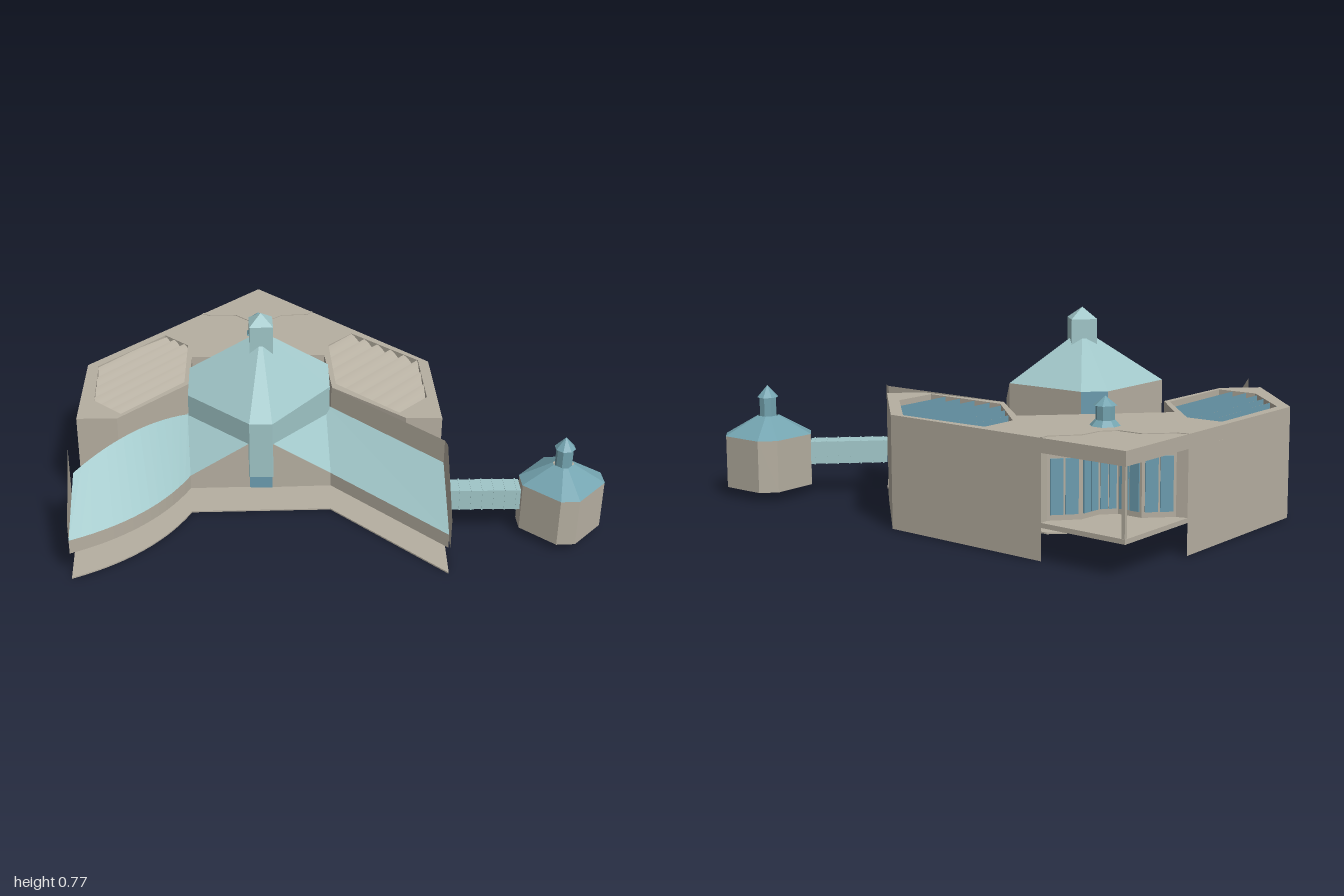
import * as THREE from 'three';

const mat = (name, color) => new THREE.MeshStandardMaterial({ name, color, side: THREE.DoubleSide });

export function createModel() {
  const root = new THREE.Group();
  const stone = mat('stone', 0xb6afa1);
  const tile = mat('pale teal tile', 0xa0c6c8);
  const blue = mat('blue metal', 0x74a4b0);
  const glass = mat('blue glass', 0x6c9db0);

  const add = (name, geo, material) => {
    const m = new THREE.Mesh(geo, material);
    m.name = name;
    root.add(m);
    return m;
  };

  // Horizontal slab from plan points [x, z], between two heights
  const slab = (name, pts, y0, y1, material, holes = []) => {
    const v = p => p.map(([x, z]) => new THREE.Vector2(x, -z));
    const s = new THREE.Shape(v(pts));
    holes.forEach(h => s.holes.push(new THREE.Path(v(h))));
    const g = new THREE.ExtrudeGeometry(s, { depth: y1 - y0, bevelEnabled: false });
    g.rotateX(-Math.PI / 2).translate(0, y0, 0);
    return add(name, g, material);
  };

  // Surface lofted through equal-length rows of [x, y, z]
  const loft = (name, rows, material, smooth = false) => {
    const n = rows[0].length, idx = [];
    for (let r = 0; r < rows.length - 1; r++) for (let i = 0; i < n - 1; i++) {
      const a = r * n + i, b = a + 1, c = a + n, d = c + 1;
      idx.push(a, c, b, b, c, d);
    }
    let g = new THREE.BufferGeometry();
    g.setAttribute('position', new THREE.Float32BufferAttribute(rows.flat(2), 3));
    g.setIndex(idx);
    if (!smooth) g = g.toNonIndexed();
    g.computeVertexNormals();
    return add(name, g, material);
  };

  // Upright wall along plan points [x, z, topHeight]
  const wall = (name, pts, y0, material) => loft(name,
    [pts.map(([x, z, y]) => [x, y, z]), pts.map(([x, z]) => [x, y0, z])], material);

  // ---- Main angular block ----
  const A = [-0.17, -1], B = [0.855, -0.96], C = [0.82, 0.06];
  const inner = [[0.48, 0.39], [0.385, 0.28], [0.375, -0.1], [0.57, -0.31], [0.175, -0.72],
    [0, -0.565], [-0.39, -0.58], [-0.5, -0.7]];
  const zig = [[0.5, -0.974], [0.51, -0.935], [0.59, -0.85], [0.59, -0.755], [0.64, -0.71],
    [0.725, -0.7], [0.81, -0.62], [0.843, -0.62]];
  const wells = [
    [[-0.145, -0.96], [0.24, -0.95], [0.24, -0.81], [0, -0.59], [-0.355, -0.595], [-0.355, -0.755]],
    [[0.65, -0.355], [0.8, -0.35], [0.8, 0.02], [0.575, 0.24], [0.4, 0.235], [0.41, -0.11]],
  ];
  slab('roofSlab', [A, B, C, ...inner], 0.37, 0.42, stone, wells);
  slab('upperWalls', [A, ...zig, C, ...inner], 0.135, 0.37, stone, wells);
  slab('upperFloor', [A, B, C, ...inner], 0.118, 0.135, stone);

  // Ground-level outer walls under the raised floor
  wall('backGroundWall', [[-0.39, -0.8, 0.12], [...A, 0.12], [0.5, -0.974, 0.12]], 0.004, stone);
  wall('sideGroundWall', [[0.843, -0.62, 0.12], [...C, 0.12], [0.48, 0.39, 0.12]], 0.004, stone);

  // Corner terrace: post, windows and the seam in the roof above
  slab('terracePost', [[0.84, -0.957], [0.853, -0.957], [0.853, -0.944], [0.84, -0.944]], 0.13, 0.38, stone);
  zig.slice(0, -1).forEach(([x, z], i) => {
    const [x2, z2] = zig[i + 1], dx = x2 - x, dz = z2 - z, len = Math.hypot(dx, dz);
    const place = (name, w, h, d, y, m, off) => {
      const b = add(name, new THREE.BoxGeometry(w, h, d), m);
      b.position.set((x + x2) / 2 + dz / len * off, y, (z + z2) / 2 - dx / len * off);
      b.rotation.y = -Math.atan2(dz, dx);
    };
    place('roofSeam', len, 0.004, 0.008, 0.421, stone, 0);
    if (i > 0 && i < 6) for (const s of [-1, 1]) {
      const pane = add('terraceWindow', new THREE.BoxGeometry(len * 0.38, 0.19, 0.006), glass);
      const t = 0.5 + s * 0.22;
      pane.position.set(x + dx * t + dz / len * 0.003, 0.25, z + dz * t - dx / len * 0.003);
      pane.rotation.y = -Math.atan2(dz, dx);
    }
  });

  // Sawtooth skylights, clipped to each roof well
  const span = (poly, z) => {
    const xs = [];
    poly.forEach(([x1, z1], i) => {
      const [x2, z2] = poly[(i + 1) % poly.length];
      if (z1 !== z2 && z >= Math.min(z1, z2) && z <= Math.max(z1, z2)) xs.push(x1 + (x2 - x1) * (z - z1) / (z2 - z1));
    });
    return xs.length ? [Math.min(...xs), Math.max(...xs)] : [poly[0][0], poly[0][0]];
  };
  wells.forEach((poly, k) => {
    const zs = poly.map(p => p[1]), z0 = Math.min(...zs) + 0.006, z1 = Math.max(...zs) - 0.006;
    const count = k ? 8 : 6, step = (z1 - z0) / count;
    for (let i = 0; i < count; i++) {
      const za = z0 + i * step, rows = [];
      for (let j = 0; j <= 5; j++) {
        const t = j / 5, z = za + step * t, [l, r] = span(poly, z), y = 0.418 - 0.055 * t ** 1.6;
        rows.push([[l, y, z], [r, y, z]]);
      }
      loft('skylightHood', rows, stone, true);
      const [l, r] = span(poly, za);
      wall('skylightGlass', [[r, za, 0.418], [l, za, 0.418]], 0.362, glass);
    }
  });

  // ---- Thin ground plate under the wings and centre ----
  const arc = new THREE.QuadraticBezierCurve(new THREE.Vector2(-0.865, -0.355),
    new THREE.Vector2(-0.55, -0.225), new THREE.Vector2(-0.235, -0.33)).getPoints(14);
  slab('groundPlate', [...arc.map(p => [p.x, p.y]), [0.16, 0.08], [0.13, 0.71], [0.345, 0.52], [0.37, -0.08],
    [0.54, -0.3], [0.54, -0.42], [0.3, -0.68], [0.17, -0.57], [0, -0.56], [-0.65, -0.57]], 0, 0.006, stone);

  // ---- Curved wing ----
  const high = arc.map((p, i) => {
    const t = i / 14, z = -0.53 + 0.02 * t;
    return [-0.675 + 0.61 * t, 0.18 + 0.8 * (p.y - z), z];
  });
  loft('curvedWingRoof', [high, arc.map(p => [p.x, 0.18, p.y])], tile);
  wall('curvedWingFascia', arc.map(p => [p.x, p.y, 0.18]), 0.12, stone);
  wall('curvedWingParapet', [[-0.675, -0.55, 0.42], [-0.865, -0.355, 0.25]], 0.12, stone);

  // ---- Straight wing ----
  loft('straightWingRoof', [[[0.16, 0.18, 0.08], [0.13, 0.18, 0.7]], [[0.37, 0.33, -0.13], [0.335, 0.33, 0.51]]], tile);
  wall('straightWingFascia', [[0.16, 0.08, 0.18], [0.13, 0.7, 0.18]], 0.12, stone);
  wall('straightWingParapet', [[0.13, 0.71, 0.25], [0.33, 0.53, 0.42]], 0.12, stone);
  wall('straightWingBackWall', [[0.33, 0.53, 0.42], [0.35, 0.5, 0.42], [0.37, -0.1, 0.42]], 0.12, stone);

  // ---- Central hall ----
  const W = [-0.235, 0.18, -0.33], S = [0.16, 0.18, 0.08];
  const wl = [-0.065, 0.33, -0.155], wn = [-0.065, 0.33, -0.51], sl = [-0.01, 0.33, -0.09], se = [0.37, 0.33, -0.13];
  loft('westSkirtRoof', [[wn, wl], [W, W]], tile);
  loft('southSkirtRoof', [[sl, se], [S, S]], tile);
  wall('westSkirtWall', [[-0.235, -0.33, 0.18], [-0.065, -0.155, 0.33]], 0.12, stone);
  wall('southSkirtWall', [[-0.01, -0.09, 0.33], [0.16, 0.08, 0.18]], 0.12, stone);

  // Eave ring [x, z, height] with the wall material below each edge
  const eave = [[-0.07, -0.155, 0.42], [-0.01, -0.085, 0.42], [0.36, -0.1, 0.43], [0.405, -0.15, 0.5],
    [0.41, -0.475, 0.5], [0.345, -0.545, 0.5], [0, -0.555, 0.5], [-0.07, -0.5, 0.42]];
  const below = [tile, tile, stone, stone, glass, stone, tile, tile];
  eave.forEach((p, i) => wall('hallWall', [p, eave[(i + 1) % 8]], i < 2 || i > 6 ? 0.17 : 0.12, below[i]));
  wall('hallDoor', [[-0.07, -0.155, 0.18], [-0.01, -0.085, 0.18]], 0.12, glass);
  const ring = [...eave, eave[0]];
  loft('hallRoof', [ring.map(() => [0.17, 0.69, -0.31]), ring.map(([x, z, y]) => [x, y, z])], tile);

  // Prism or cone with flat sides
  const prism = (name, rTop, rBottom, y0, y1, x, z, sides, material, turn = 0) => {
    const g = new THREE.CylinderGeometry(rTop, rBottom, y1 - y0, sides, 1, false, turn).toNonIndexed();
    g.computeVertexNormals();
    return add(name, g.translate(x, (y0 + y1) / 2, z), material);
  };
  prism('chimney', 0.067, 0.067, 0.55, 0.73, 0.17, -0.31, 4, tile);
  prism('chimneyCap', 0, 0.068, 0.73, 0.772, 0.17, -0.31, 4, tile);

  // ---- Roof lantern ----
  const e = Math.PI / 8;
  prism('lanternFoot', 0.036, 0.055, 0.42, 0.44, 0.53, -0.66, 8, blue, e);
  prism('lanternBody', 0.034, 0.034, 0.44, 0.49, 0.53, -0.66, 8, blue, e);
  prism('lanternCap', 0, 0.042, 0.49, 0.522, 0.53, -0.66, 8, blue, e);

  // ---- Detached turret and its bridge ----
  const tx = 0.67, tz = 0.85;
  const octagon = (h, c) => [[-h + c, -h], [h - c, -h], [h, -h + c], [h, h - c], [h - c, h], [-h + c, h], [-h, h - c], [-h, -h + c]]
    .map(([x, z]) => [tx + x, tz + z]);
  slab('turretBody', octagon(0.142, 0.053), 0.035, 0.238, stone);
  const close = (p, y) => [...p, p[0]].map(([x, z]) => [x, y, z]);
  loft('turretRoof', [close(octagon(0.035, 0.013), 0.312), close(octagon(0.143, 0.053), 0.238)], blue);
  prism('turretLantern', 0.034, 0.034, 0.3, 0.385, tx, tz, 8, blue, e);
  prism('turretCap', 0, 0.042, 0.385, 0.432, tx, tz, 8, blue, e);

  const bridge = new THREE.Group();
  bridge.name = 'bridge';
  bridge.position.set(0.46, 0.165, 0.615);
  bridge.rotation.y = -Math.atan2(0.21, 0.195);
  bridge.add(new THREE.Mesh(new THREE.BoxGeometry(0.3, 0.088, 0.084), tile));
  for (let i = 0; i < 7; i++) {
    const rib = new THREE.Mesh(new THREE.BoxGeometry(0.006, 0.092, 0.088), tile);
    rib.name = 'bridgeRib';
    rib.position.x = -0.135 + i * 0.045;
    bridge.add(rib);
  }
  bridge.children[0].name = 'bridgeTube';
  root.add(bridge);
  return root;
}
